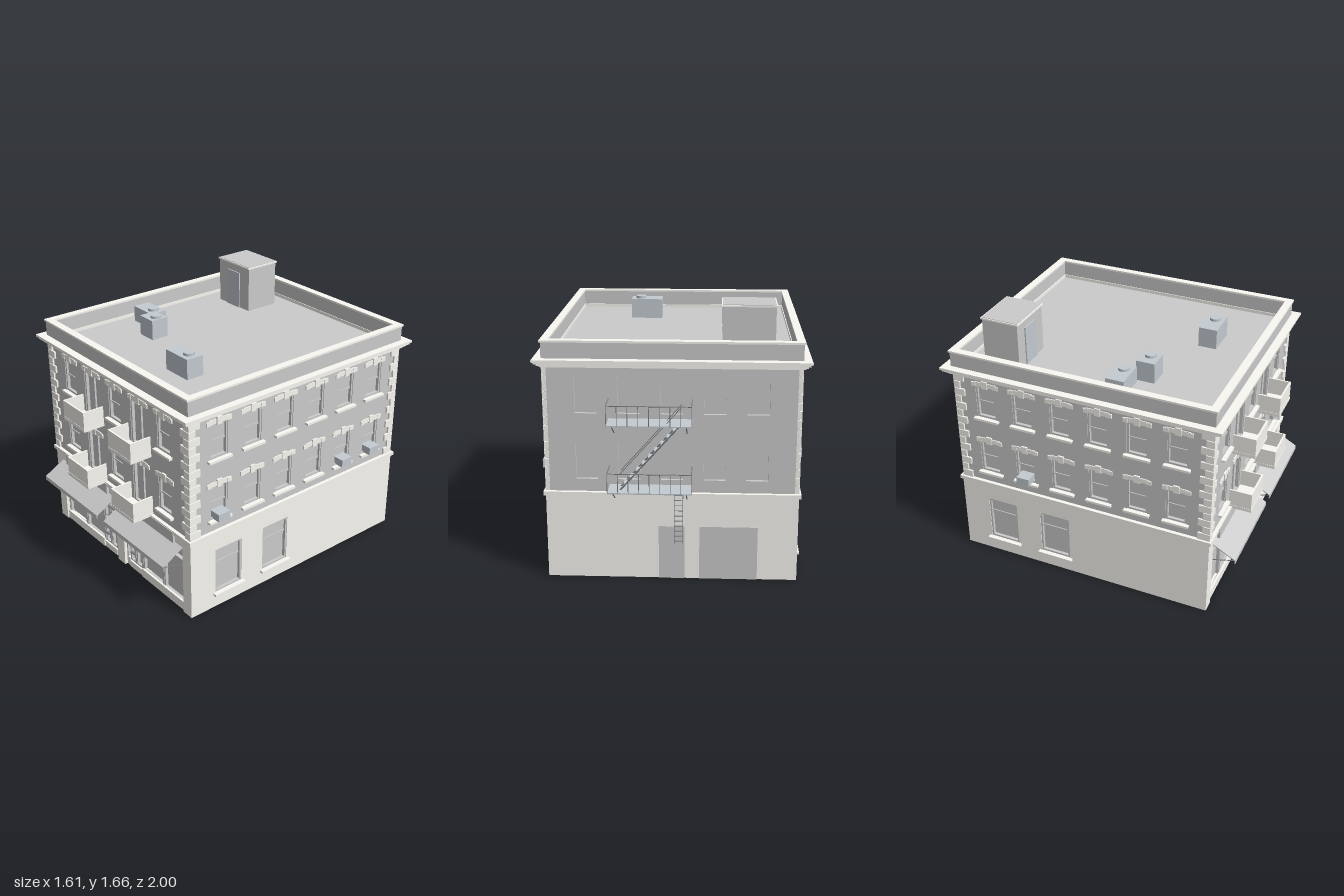
import * as THREE from 'three';

const mat = (color, side = THREE.FrontSide) => new THREE.MeshStandardMaterial({ color, side });
const STONE = mat(0xfaf8f2), GREY = mat(0xcccccc), STEEL = mat(0xc3cbd1), IRON = mat(0x7c8186);
const AWNING = mat(0xcccccc, THREE.DoubleSide);

function add(parent, name, geometry, material, x = 0, y = 0, z = 0) {
  const m = new THREE.Mesh(geometry, material);
  m.name = name;
  m.position.set(x, y, z);
  parent.add(m);
  return m;
}

// Box given by its extents along each axis
const box = (p, name, material, x0, x1, y0, y1, z0, z1) =>
  add(p, name, new THREE.BoxGeometry(x1 - x0, y1 - y0, z1 - z0), material, (x0 + x1) / 2, (y0 + y1) / 2, (z0 + z1) / 2);

const rectPoints = (x0, x1, y0, y1) =>
  [[x0, y0], [x1, y0], [x1, y1], [x0, y1]].map(([x, y]) => new THREE.Vector2(x, y));

// Straight bar between two points
function rod(p, name, a, b, r = 0.0028) {
  const A = new THREE.Vector3(...a), B = new THREE.Vector3(...b), d = B.clone().sub(A);
  const m = add(p, name, new THREE.CylinderGeometry(r, r, d.length(), 6), IRON);
  m.position.copy(A).add(B).multiplyScalar(0.5);
  m.quaternion.setFromUnitVectors(new THREE.Vector3(0, 1, 0), d.normalize());
}

// Wall in the local xy plane with rectangular openings [x0, x1, y0, y1]
function wall(p, name, material, half, y0, y1, face, depth, openings) {
  const s = new THREE.Shape(rectPoints(-half, half, y0, y1));
  for (const o of openings) s.holes.push(new THREE.Path(rectPoints(...o)));
  add(p, name, new THREE.ExtrudeGeometry(s, { depth, bevelEnabled: false }), material, 0, 0, face - depth);
}

// Horizontal rectangular ring around the building
function ring(p, name, material, hx, hz, y0, y1, ix = 0.715, iz = 0.815) {
  const s = new THREE.Shape(rectPoints(-hx, hx, -hz, hz));
  s.holes.push(new THREE.Path(rectPoints(-ix, ix, -iz, iz)));
  add(p, name, new THREE.ExtrudeGeometry(s, { depth: y1 - y0, bevelEnabled: false }), material, 0, y0, 0).rotation.x = -Math.PI / 2;
}

// Frame of four bars around an opening
function frame(p, x0, x1, y0, y1, z, t = 0.012, d = 0.02) {
  box(p, 'frameJamb', GREY, x0, x0 + t, y0, y1, z - d, z);
  box(p, 'frameJamb', GREY, x1 - t, x1, y0, y1, z - d, z);
  box(p, 'frameHead', GREY, x0 + t, x1 - t, y1 - t, y1, z - d, z);
  box(p, 'frameFoot', GREY, x0 + t, x1 - t, y0, y0 + t, z - d, z);
}

// Shallow stone lintel with dropped ears and a keystone
function lintel(p, x, y, half, z) {
  box(p, 'lintel', STONE, x - half + 0.016, x + half - 0.016, y, y + 0.03, z - 0.01, z + 0.006);
  for (const s of [-1, 1])
    add(p, 'lintelEar', new THREE.BoxGeometry(0.034, 0.028, 0.018), STONE, x + s * (half - 0.017), y + 0.011, z - 0.001);
  box(p, 'keystone', STONE, x - 0.019, x + 0.019, y - 0.008, y + 0.042, z - 0.01, z + 0.011);
}

// Sash window with sill
function sashWindow(parent, x, y, w, h, z, rail = 0.5, ornate = true) {
  const g = new THREE.Group();
  g.name = 'sashWindow';
  parent.add(g);
  const x0 = x - w / 2, x1 = x + w / 2, m = y + h * rail;
  frame(g, x0, x1, y, y + h, z - 0.004);
  box(g, 'lowerPane', GREY, x0, x1, y, m, z - 0.033, z - 0.026);
  box(g, 'upperPane', GREY, x0, x1, m, y + h, z - 0.026, z - 0.018);
  box(g, 'meetingRail', GREY, x0, x1, m - 0.006, m + 0.006, z - 0.03, z - 0.012);
  box(g, 'sill', STONE, x - w / 2 - 0.017, x + w / 2 + 0.017, y - 0.015, y, z - 0.03, z + 0.026);
  if (ornate) lintel(g, x, y + h, w / 2 + 0.024, z);
}

// French door with balcony
function balconyDoor(parent, x, y, z) {
  const g = new THREE.Group();
  g.name = 'balconyDoor';
  parent.add(g);
  const top = y + 0.3, w = 0.083;
  box(g, 'doorGlass', GREY, x - w, x + w, y, top, z - 0.033, z - 0.024);
  frame(g, x - w, x + w, y, top, z - 0.004);
  box(g, 'doorStile', GREY, x - 0.011, x + 0.011, y, top, z - 0.026, z - 0.012);
  lintel(g, x, top, 0.1, z);
  box(g, 'balconySlab', STONE, x - 0.12, x + 0.12, y - 0.014, y + 0.008, z, 0.992);
  box(g, 'balconyFront', STONE, x - 0.118, x + 0.118, y + 0.008, y + 0.12, 0.978, 0.99);
  for (const s of [-1, 1])
    add(g, 'balconySide', new THREE.BoxGeometry(0.01, 0.112, 0.978 - z), STONE, x + s * 0.113, y + 0.064, (z + 0.978) / 2);
}

// Shopfront with door next to the middle pier; s is the side
function shopfront(parent, s) {
  const g = new THREE.Group();
  g.name = 'shopfront';
  parent.add(g);
  const span = (name, material, a, b, ...rest) => box(g, name, material, Math.min(s * a, s * b), Math.max(s * a, s * b), ...rest);
  span('shopGlass', GREY, 0.04, 0.675, 0.03, 0.46, 0.8, 0.812);
  span('stallRiser', STONE, 0.22, 0.675, 0, 0.06, 0.8, 0.845);
  span('doorStep', STONE, 0.075, 0.215, 0, 0.045, 0.8, 0.84);
  span('sidePlinth', STONE, 0.04, 0.075, 0, 0.06, 0.8, 0.835);
  span('transomRail', GREY, 0.04, 0.675, 0.34, 0.36, 0.812, 0.836);
  for (const [a, b] of [[0.225, 0.44], [0.452, 0.668], [0.078, 0.138], [0.148, 0.212]])
    frame(g, Math.min(s * a, s * b), Math.max(s * a, s * b), 0.05, 0.34, 0.832, 0.01);
  for (const a of [0.045, 0.142, 0.22, 0.446, 0.67]) span('mullion', GREY, a - 0.005, a + 0.005, 0.05, 0.46, 0.812, 0.834);
  box(g, 'doorHandle', IRON, s * 0.145 - 0.055, s * 0.145 - 0.015, 0.117, 0.124, 0.828, 0.844);
  span('signBoard', GREY, 0.11, 0.605, 0.475, 0.548, 0.85, 0.872);
  // Sloping canopy with valance and arms
  const profile = [[0.855, 0.475], [1, 0.396], [1, 0.368], [0.995, 0.368], [0.995, 0.392], [0.855, 0.468]];
  const shape = new THREE.Shape(profile.map(([z, y]) => new THREE.Vector2(-z, y)));
  const m = add(g, 'awning', new THREE.ExtrudeGeometry(shape, { depth: 0.635, bevelEnabled: false }), AWNING, s * 0.3575 - 0.3175);
  m.rotation.y = Math.PI / 2;
  for (const a of [0.045, 0.67]) rod(g, 'awningArm', [s * a, 0.352, 0.855], [s * a, 0.39, 0.993]);
}

// Rear fire escape: two landings, stair, drop ladder
function fireEscape(parent) {
  const g = new THREE.Group();
  g.name = 'fireEscape';
  parent.add(g);
  const xa = -0.12, xb = 0.37, zi = -0.85, zo = -0.997;
  for (const y of [0.6, 1.01]) {
    box(g, 'landing', STEEL, xa, xb, y - 0.005, y + 0.003, zo, zi);
    rod(g, 'rail', [xa, y + 0.12, zo], [xb, y + 0.12, zo]);
    for (const x of [xa, xb]) rod(g, 'endRail', [x, y + 0.12, zo], [x, y + 0.12, zi]);
    for (let i = 0; i <= 8; i++) {
      const x = xa + (xb - xa) * i / 8;
      rod(g, 'baluster', [x, y, zo], [x, y + 0.12, zo], 0.0022);
    }
    for (const x of [xa + 0.03, xb - 0.03]) rod(g, 'bracket', [x, y, zo], [x, y - 0.085, zi], 0.0035);
  }
  const lo = [0.3, 0.6], hi = [-0.06, 1.01];
  for (const z of [-0.875, -0.94]) {
    rod(g, 'stairString', [...lo, z], [...hi, z], 0.005);
    rod(g, 'stairHandrail', [lo[0], lo[1] + 0.1, z], [hi[0], hi[1] + 0.1, z], 0.0022);
  }
  for (let i = 1; i < 10; i++) {
    const x = lo[0] + (hi[0] - lo[0]) * i / 10, y = lo[1] + (hi[1] - lo[1]) * i / 10;
    box(g, 'stairTread', STEEL, x - 0.015, x + 0.015, y - 0.002, y + 0.002, -0.94, -0.875);
  }
  for (const x of [-0.07, -0.02]) rod(g, 'ladderRail', [x, 0.28, -0.98], [x, 0.6, -0.98]);
  for (let i = 0; i < 10; i++) rod(g, 'ladderRung', [-0.07, 0.3 + i * 0.032, -0.98], [-0.02, 0.3 + i * 0.032, -0.98], 0.0025);
}

export function createModel() {
  const model = new THREE.Group();
  const rows = [0.632, 1.04], columns = [-0.505, 0, 0.505], doors = [-0.253, 0.253];
  const bays = [0, 1, 2, 3, 4, 5].map(i => (i - 2.5) * 0.2535);
  const face = (name, angle) => {
    const g = new THREE.Group();
    g.name = name;
    g.rotation.y = angle;
    model.add(g);
    return g;
  };
  const hole = (x, y, w, h) => [x - w / 2, x + w / 2, y, y + h];

  // Front
  const front = face('front', 0), FZ = 0.845;
  wall(front, 'frontBrickWall', GREY, 0.745, 0.54, 1.34, FZ, 0.02, rows.flatMap(y => [
    ...columns.map(x => hole(x, y, 0.13, 0.225)), ...doors.map(x => hole(x, y - 0.075, 0.166, 0.3))]));
  for (const y of rows) {
    for (const x of columns) sashWindow(front, x, y, 0.13, 0.225, FZ);
    for (const x of doors) balconyDoor(front, x, y - 0.075, FZ);
  }
  for (const [a, b] of [[-0.755, -0.675], [-0.04, 0.04], [0.675, 0.755]]) box(front, 'pier', STONE, a, b, 0, 0.46, 0.8, 0.855);
  box(front, 'shopHeader', STONE, -0.755, 0.755, 0.46, 0.54, 0.8, 0.855);
  for (const s of [-1, 1]) shopfront(front, s);

  // Sides
  for (const [name, s, coolers] of [['rightSide', 1, [0, 4, 5]], ['leftSide', -1, [1]]]) {
    const g = face(name, s * Math.PI / 2), lowBays = [-0.567, -0.19];
    wall(g, 'sideBrickWall', GREY, 0.825, 0.54, 1.34, 0.745, 0.02, rows.flatMap(y => bays.map(x => hole(x, y, 0.135, 0.225))));
    for (const y of rows) for (const x of bays) sashWindow(g, x, y, 0.135, 0.225, 0.745);
    wall(g, 'sideBaseWall', STONE, 0.843, 0, 0.54, 0.755, 0.012, lowBays.map(x => hole(x, 0.105, 0.205, 0.31)));
    for (const x of lowBays) sashWindow(g, x, 0.105, 0.205, 0.31, 0.755, 0.68, false);
    for (const i of coolers) box(g, 'windowCooler', STEEL, bays[i] - 0.043, bays[i] + 0.043, 0.638, 0.688, 0.715, 0.8);
  }

  // Back
  const back = face('back', Math.PI), backBays = [...columns, ...doors];
  wall(back, 'backBrickWall', GREY, 0.745, 0.54, 1.34, FZ, 0.02, rows.flatMap(y => backBays.map(x => hole(x, y, 0.13, 0.225))));
  for (const y of rows) for (const x of backBays)
    box(back, 'backWindow', GREY, x - 0.065, x + 0.065, y, y + 0.225, 0.815, 0.825);
  wall(back, 'backBaseWall', STONE, 0.755, 0, 0.54, 0.855, 0.012, []);
  box(back, 'garageDoor', GREY, 0.165, 0.515, 0, 0.34, 0.845, 0.859);
  box(back, 'serviceDoor', GREY, -0.08, 0.075, 0, 0.34, 0.845, 0.859);
  fireEscape(model);

  // Corner quoins, alternating long and short
  const step = (1.325 - 0.555) / 15;
  for (const s of [-1, 1]) for (let i = 0; i < 15; i++) {
    const y0 = 0.555 + i * step + 0.002, y1 = y0 + step - 0.004, long = i % 2;
    const w = long ? 0.08 : 0.05, d = long ? 0.05 : 0.08;
    const xs = (a, b) => [Math.min(s * a, s * b), Math.max(s * a, s * b)];
    box(model, 'frontQuoin', STONE, ...xs(0.757 - w, 0.757), y0, y1, 0.83, 0.857);
    box(model, 'sideQuoin', STONE, ...xs(0.73, 0.757), y0, y1, 0.857 - d, 0.8569);
    box(model, 'rearQuoin', STONE, ...xs(0.73, 0.757), y0, y1, -0.848, -0.857 + d);
  }

  // String course, cornice, parapet and roof
  ring(model, 'stringCourse', STONE, 0.768, 0.868, 0.53, 0.555, 0.735, 0.835);
  ring(model, 'corniceBed', STONE, 0.767, 0.867, 1.32, 1.332);
  ring(model, 'corniceStep', STONE, 0.78, 0.885, 1.332, 1.343);
  ring(model, 'corniceStep', STONE, 0.793, 0.9, 1.343, 1.356);
  ring(model, 'corniceLip', STONE, 0.804, 0.91, 1.356, 1.371);
  ring(model, 'parapet', GREY, 0.755, 0.857, 1.371, 1.466, 0.72, 0.82);
  ring(model, 'coping', STONE, 0.762, 0.865, 1.466, 1.478);
  box(model, 'roof', GREY, -0.72, 0.72, 1.335, 1.35, -0.82, 0.82);

  // Rooftop stair house and cooling units
  box(model, 'stairHouse', GREY, -0.6, -0.29, 1.35, 1.65, -0.705, -0.465);
  box(model, 'stairHouseCap', STONE, -0.607, -0.283, 1.65, 1.66, -0.713, -0.457);
  box(model, 'stairHouseRoof', GREY, -0.6, -0.29, 1.655, 1.663, -0.706, -0.464);
  box(model, 'stairHouseDoor', STEEL, -0.515, -0.385, 1.35, 1.6, -0.47, -0.457);
  for (const [x0, x1, z0, z1, top, fx, fz] of [
    [-0.64, -0.44, 0.13, 0.245, 1.455, -0.5, 0.187],
    [-0.42, -0.285, 0.23, 0.35, 1.481, -0.33, 0.288],
    [0.13, 0.34, 0.425, 0.545, 1.481, 0.277, 0.483]]) {
    box(model, 'coolingUnit', STEEL, x0, x1, 1.35, top, z0, z1);
    add(model, 'coolingFan', new THREE.CylinderGeometry(0.036, 0.036, 0.016, 20), STEEL, fx, top + 0.008, fz);
  }
  return model;
}
